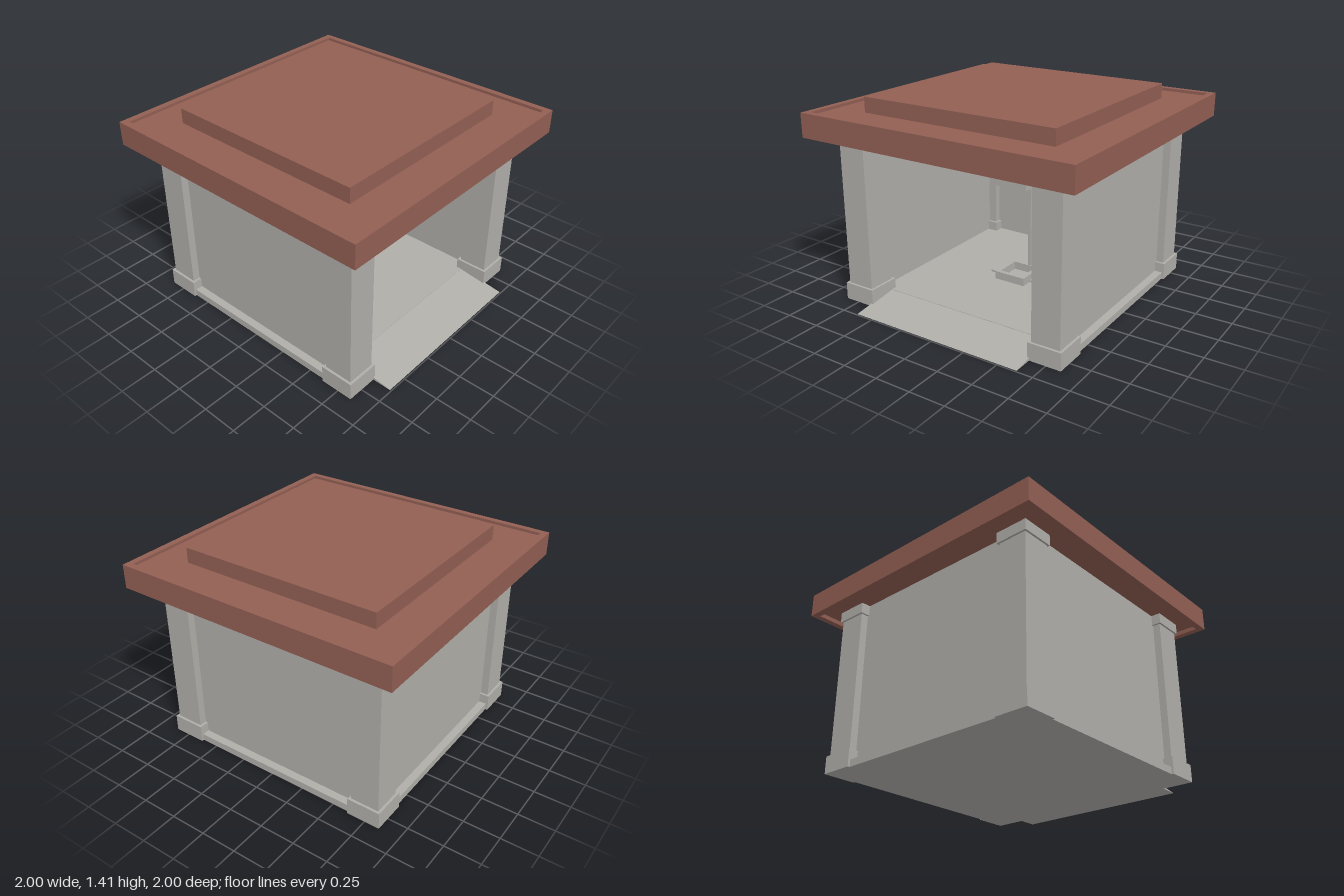
import * as THREE from 'three';

export function createModel() {
  const model = new THREE.Group();
  model.name = 'pavilion';

  const stone = new THREE.MeshStandardMaterial({ color: 0xb0aea9 });
  stone.name = 'pale stone';
  const clay = new THREE.MeshStandardMaterial({ color: 0x925f53 });
  clay.name = 'clay roof';

  // Box from its minimum and maximum on each axis
  function box(name, mat, [x0, x1], [y0, y1], [z0, z1], parent = model) {
    const mesh = new THREE.Mesh(new THREE.BoxGeometry(x1 - x0, y1 - y0, z1 - z0), mat);
    mesh.position.set((x0 + x1) / 2, (y0 + y1) / 2, (z0 + z1) / 2);
    mesh.name = name;
    parent.add(mesh);
    return mesh;
  }

  // Square ring lying flat
  function squareRing(name, mat, outer, inner, y0, y1, parent = model) {
    const square = (T, s) => {
      const p = new T();
      p.moveTo(-s, -s).lineTo(s, -s).lineTo(s, s).lineTo(-s, s).closePath();
      return p;
    };
    const shape = square(THREE.Shape, outer);
    shape.holes.push(square(THREE.Path, inner));
    const geo = new THREE.ExtrudeGeometry(shape, { depth: y1 - y0, bevelEnabled: false });
    geo.rotateX(-Math.PI / 2);
    const mesh = new THREE.Mesh(geo, mat);
    mesh.position.y = y0;
    mesh.name = name;
    parent.add(mesh);
  }

  // Floor slab
  box('floor', stone, [-0.84, 0.84], [0, 0.05], [-0.84, 0.66]);
  // Entrance ramp
  const wedge = new THREE.Shape();
  wedge.moveTo(-0.64, 0.05).lineTo(-0.99, 0).lineTo(-0.64, 0).closePath();
  const rampGeo = new THREE.ExtrudeGeometry(wedge, { depth: 1.27, bevelEnabled: false });
  rampGeo.translate(0, 0, -0.635).rotateY(Math.PI / 2);
  const ramp = new THREE.Mesh(rampGeo, stone);
  ramp.name = 'ramp';
  model.add(ramp);

  // Corner columns with plinth and cap
  for (const sx of [-1, 1]) for (const sz of [-1, 1]) {
    const column = new THREE.Group();
    column.name = `${sz > 0 ? 'front' : 'back'}${sx > 0 ? 'Left' : 'Right'}Column`;
    const part = (name, half, y0, y1) =>
      box(name, stone, [-half, half], [y0, y1], [-half, half], column);
    part('plinth', 0.1175, 0, 0.12);
    part('shaft', 0.1, 0.12, 1.12);
    part('cap', 0.1135, 1.12, 1.2);
    column.position.set(sx * 0.738, 0, sz * 0.738);
    model.add(column);
  }

  // Side walls and back wall, set in from the column faces
  for (const s of [-1, 1]) {
    const [a, b] = s > 0 ? [0.7, 0.785] : [-0.785, -0.7];
    box(s > 0 ? 'leftWall' : 'rightWall', stone, [a, b], [0.05, 1.2], [-0.7, 0.7]);
  }
  box('backWall', stone, [-0.7, 0.7], [0.05, 1.2], [-0.785, -0.7]);
  box('backWallLowerPanel', stone, [-0.7, 0.7], [0.05, 0.48], [-0.7, -0.69]);
  box('ceiling', stone, [-0.7, 0.7], [1.04, 1.2], [-0.7, 0.64]);

  // Roof: rim around a recessed slab, with a raised top
  squareRing('roofRim', clay, 1, 0.955, 1.165, 1.33);
  box('roofSlab', clay, [-0.955, 0.955], [1.195, 1.31], [-0.955, 0.955]);
  box('roofTop', clay, [-0.715, 0.715], [1.31, 1.415], [-0.715, 0.715]);

  // Hanging fixture
  const fixture = new THREE.Group();
  fixture.name = 'hangingFixture';
  model.add(fixture);
  box('ceilingPlate', stone, [-0.26, 0.26], [1.007, 1.035], [-0.06, 0.06], fixture);
  box('hanger', stone, [-0.092, -0.074], [0.925, 1.007], [-0.01, 0.01], fixture);
  box('housing', stone, [-0.128, 0.125], [0.75, 0.927], [-0.1, 0.1], fixture);
  box('rod', stone, [0.086, 0.108], [0.19, 0.75], [-0.011, 0.011], fixture);
  box('rodTip', stone, [0.086, 0.108], [0.165, 0.19], [-0.011, 0.011], fixture);

  // Floor tray below the fixture
  const tray = new THREE.Group();
  tray.name = 'floorTray';
  model.add(tray);
  squareRing('trayFrame', stone, 0.12, 0.09, 0.05, 0.107, tray);
  for (const s of [-1, 1]) {
    const x = s > 0 ? [0.12, 0.21] : [-0.21, -0.12];
    box(s > 0 ? 'leftFoot' : 'rightFoot', stone, x, [0.05, 0.065], [-0.04, 0.04], tray);
  }

  return model;
}
